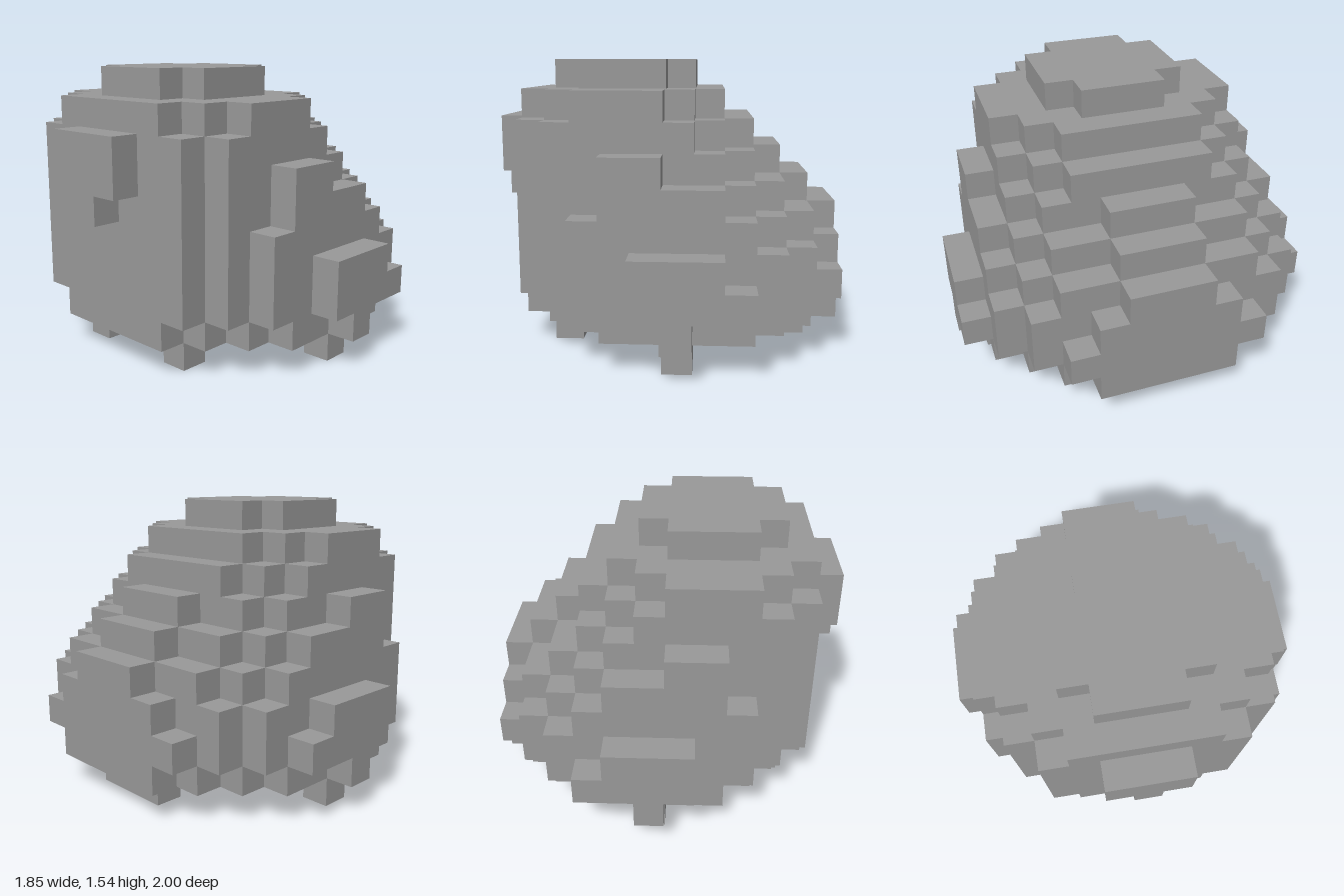
import * as THREE from 'three';

const S = 2 / 13; // edge of one block
const NX = 12, NY = 10, NZ = 13;

// Highest block of every column along x, from the outer row to the middle row
const HEIGHTS = [
  '-----3332---',
  '---4665543--',
  '--788876543-',
  '-78888876542',
  '-88999887543',
  '-89999987654',
  '-89999987654',
];
// Inset bottom layer: a thin rim around a hollow with a block in the middle
const BASE = [
  '------#-----',
  '----#####---',
  '---#-----#--',
  '--#-------#-',
  '-##--------#',
  '-##-##----##',
  '-##-##----##',
];

// Is there a body block at this cell? The body mirrors front to back.
function solid(i, j, k) {
  if (i < 0 || i >= NX || k < 0 || k >= NZ || j < 1) return false;
  const row = Math.min(k, NZ - 1 - k);
  if (j === 1) return BASE[row][i] === '#';
  return HEIGHTS[row][i] !== '-' && j <= Number(HEIGHTS[row][i]);
}

// Skin of the block body: one square for every exposed side
function bodyGeometry() {
  const pos = [], nor = [], index = [];
  const addSide = (cell, axis, sign) => {
    const u = (axis + 1) % 3, v = (axis + 2) % 3;
    const start = pos.length / 3;
    for (const [a, b] of [[0, 0], [1, 0], [1, 1], [0, 1]]) {
      const p = [...cell];
      p[axis] += sign > 0 ? 1 : 0;
      p[u] += a;
      p[v] += b;
      pos.push((p[0] - NX / 2) * S, p[1] * S, (p[2] - NZ / 2) * S);
      const n = [0, 0, 0];
      n[axis] = sign;
      nor.push(...n);
    }
    const order = sign > 0 ? [0, 1, 2, 0, 2, 3] : [0, 2, 1, 0, 3, 2];
    index.push(...order.map((o) => start + o));
  };
  for (let i = 0; i < NX; i++)
    for (let j = 1; j < NY; j++)
      for (let k = 0; k < NZ; k++) {
        if (!solid(i, j, k)) continue;
        for (let axis = 0; axis < 3; axis++)
          for (const sign of [-1, 1]) {
            const next = [i, j, k];
            next[axis] += sign;
            if (!solid(...next)) addSide([i, j, k], axis, sign);
          }
      }
  const g = new THREE.BufferGeometry();
  g.setAttribute('position', new THREE.Float32BufferAttribute(pos, 3));
  g.setAttribute('normal', new THREE.Float32BufferAttribute(nor, 3));
  g.setIndex(index);
  return g;
}

export function createModel() {
  const model = new THREE.Group();
  const grey = new THREE.MeshStandardMaterial({ color: 0x999999 });
  grey.name = 'grey';

  const add = (name, geometry) => {
    const mesh = new THREE.Mesh(geometry, grey);
    mesh.name = name;
    model.add(mesh);
    return mesh;
  };
  // Box that fills a run of blocks
  const block = (name, i, j, k, w = 1, h = 1, d = 1) =>
    add(name, new THREE.BoxGeometry(w * S, h * S, d * S)).position.set(
      (i + w / 2 - NX / 2) * S, (j + h / 2) * S, (k + d / 2 - NZ / 2) * S);

  add('body', bodyGeometry());

  // Raised tab on the steep side
  block('tab', 0, 6, 5, 1, 2, 3);
  block('tabTip', 0, 5, 6);

  // Feet under the base
  block('wideFoot', 10, 0, 5, 1, 1, 3);
  for (const k of [1, 11]) block('middleFoot', 6, 0, k);
  for (const k of [4, 8]) block('smallFoot', 2, 0, k);

  return model;
}
